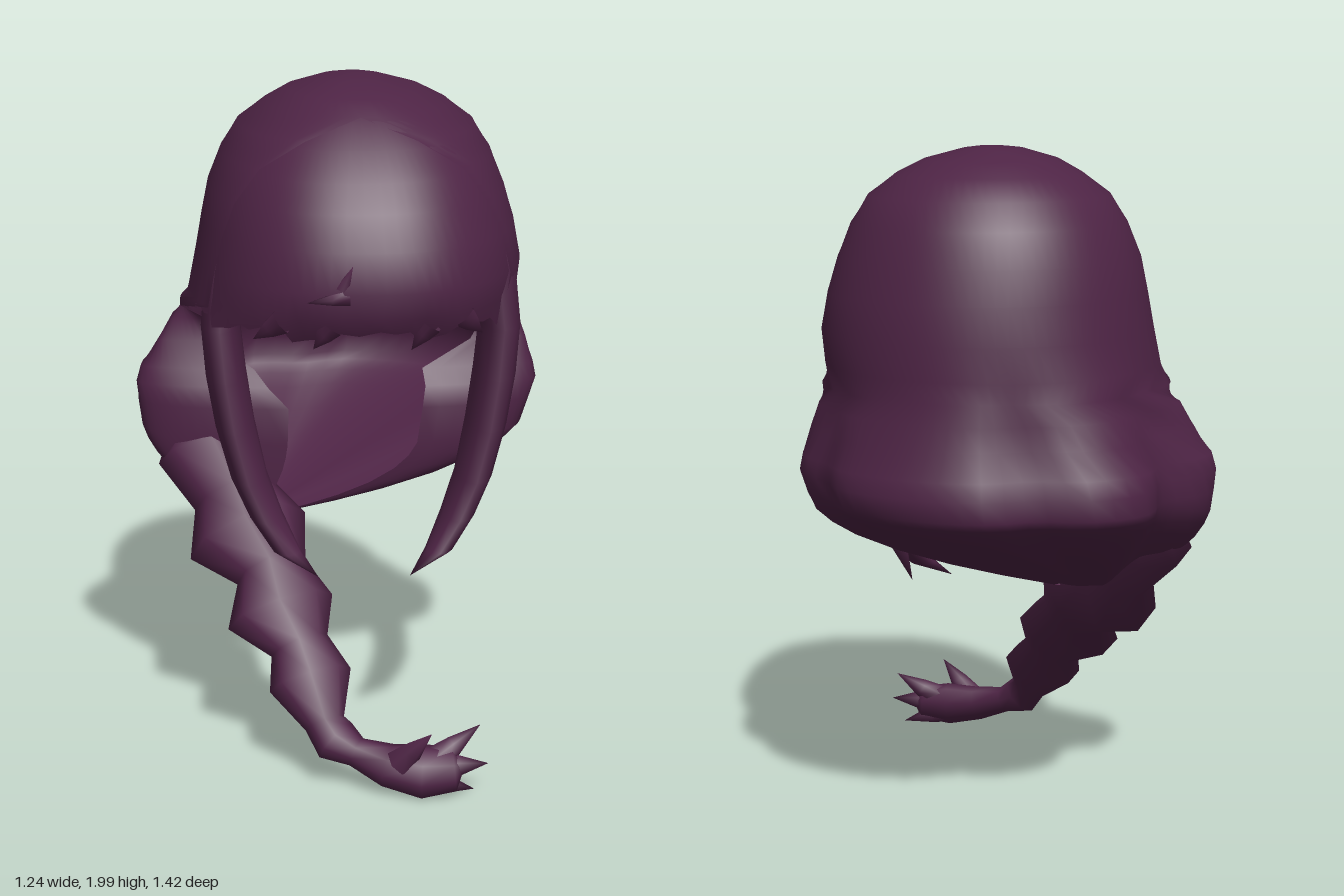
import * as THREE from 'three';
import { mergeVertices } from 'three/addons/utils/BufferGeometryUtils.js';

const hair = new THREE.MeshStandardMaterial({ color: 0x4e2445, side: THREE.DoubleSide });
hair.name = 'plum hair';

// Smooth surface through rows of equally many points.
function surface(name, rows) {
  const n = rows[0].length, index = [];
  for (let i = 0; i < rows.length - 1; i++) {
    for (let j = 0; j < n - 1; j++) {
      const a = i * n + j, b = a + n;
      index.push(a, a + 1, b, a + 1, b + 1, b);
    }
  }
  let geo = new THREE.BufferGeometry().setFromPoints(rows.flat());
  geo.setIndex(index);
  geo = mergeVertices(geo, 1e-4);
  geo.computeVertexNormals();
  const mesh = new THREE.Mesh(geo, hair);
  mesh.name = name;
  return mesh;
}

// Loft of elliptical rings [x, y, z, halfWidth, halfDepth]; rings are level,
// or turned square to the path when a facing direction is given.
function loft(name, rings, facing, sides = 10) {
  const centres = rings.map(r => new THREE.Vector3(r[0], r[1], r[2]));
  return surface(name, rings.map((r, i) => {
    let wide = new THREE.Vector3(1, 0, 0), deep = new THREE.Vector3(0, 0, 1);
    if (facing) {
      const t = centres[Math.min(i + 1, rings.length - 1)].clone()
        .sub(centres[Math.max(i - 1, 0)]).normalize();
      wide = facing.clone().cross(t).normalize();
      deep = t.clone().cross(wide);
    }
    return Array.from({ length: sides + 1 }, (_, j) => {
      const a = (j % sides) / sides * Math.PI * 2;
      return centres[i].clone().addScaledVector(wide, r[3] * Math.sin(a))
        .addScaledVector(deep, -r[4] * Math.cos(a));
    });
  }));
}

// Head profile: y, xMin, xMax, zBack, zFront, z of the shell's left and right edges
const PROFILE = [
  [2.00, 0.05, 0.05, -0.15, -0.15, 0.28, 0.28],
  [1.998, 0.01, 0.09, -0.20, -0.08, 0.28, 0.28],
  [1.99, -0.05, 0.14, -0.25, 0.02, 0.28, 0.28],
  [1.96, -0.15, 0.25, -0.35, 0.15, 0.28, 0.28],
  [1.92, -0.22, 0.33, -0.43, 0.23, 0.28, 0.28],
  [1.86, -0.30, 0.41, -0.50, 0.31, 0.28, 0.28],
  [1.78, -0.35, 0.46, -0.55, 0.39, 0.27, 0.27],
  [1.68, -0.39, 0.50, -0.58, 0.46, 0.26, 0.26],
  [1.58, -0.41, 0.53, -0.605, 0.51, 0.25, 0.25],
  [1.47, -0.43, 0.55, -0.62, 0.54, 0.25, 0.25],
  [1.37, -0.45, 0.54, -0.63, 0.52, 0.24, 0.24],
  [1.31, -0.48, 0.55, -0.64, 0.47, -0.04, -0.04],
  [1.25, -0.51, 0.56, -0.655, -0.10, -0.115, -0.115],
  [1.18, -0.55, 0.585, -0.67, -0.10, -0.11, -0.11],
  [1.10, -0.605, 0.61, -0.70, -0.06, -0.065, -0.065],
  [1.05, -0.62, 0.62, -0.72, -0.03, -0.037, -0.034],
  [0.99, -0.615, 0.60, -0.72, 0.00, -0.009, -0.002],
];
const CZ = -0.15;
const power = forward => forward > 0 ? 2.4 : 2;
const curve = (v, p) => Math.sign(v) * Math.abs(v) ** p;

function profileAt(y) {
  let i = 0;
  while (i < PROFILE.length - 2 && PROFILE[i + 1][0] > y) i++;
  const a = PROFILE[i], b = PROFILE[i + 1];
  const t = (y - a[0]) / (b[0] - a[0]);
  return a.map((v, k) => v + (b[k] - v) * t);
}

// Grooves between the large locks of the back hair: angle, depth, width
const GROOVES = [[-1.05, 0.16, 0.24], [-0.15, 0.09, 0.17], [1.1, 0.05, 0.15]];
function groove(y, angle) {
  const k = THREE.MathUtils.smoothstep(1.45 - y, 0, 0.4);
  return GROOVES.reduce((r, [a, d, w]) => r - k * d * Math.exp(-(((angle - a) / w) ** 2)), 1);
}

// Point on the head at a height and an angle (0 = back, PI = front)
function headPoint(y, angle, scale = 1) {
  const [, x0, x1, zb, zf] = profileAt(y);
  const p = 2 / power(-Math.cos(angle));
  const c = curve(-Math.cos(angle), p), s = curve(Math.sin(angle), p);
  return new THREE.Vector3((x0 + x1) / 2 + scale * s * (x1 - x0) / 2, y,
    CZ + scale * c * (c > 0 ? zf - CZ : CZ - zb));
}

function edgeAngle(y, z) {
  const [, , , zb, zf] = profileAt(y);
  const reach = z > CZ ? zf - CZ : CZ - zb;
  const t = reach > 0 ? THREE.MathUtils.clamp((z - CZ) / reach, -1, 1) : 1;
  return Math.acos(-curve(t, power(t) / 2));
}

// Crown and back hair, gathered below into the root of the braid
function makeShell() {
  const COLS = 56;
  const rows = PROFILE.map(([y, , , , , zLeft, zRight]) => {
    const left = edgeAngle(y, zLeft), right = edgeAngle(y, zRight);
    return Array.from({ length: COLS + 1 }, (_, j) => {
      const u = j / COLS * 2 - 1, a = u * (u > 0 ? left : right);
      return headPoint(y, a, groove(y, a));
    });
  });
  // The front panels drop more steeply than the back before turning under
  const hem = rows[rows.length - 1], root = new THREE.Vector3(-0.28, 0.635, -0.02);
  for (const f of [0.03, 0.08, 0.16, 0.3, 0.48, 0.66, 0.84]) {
    rows.push(hem.map(p => {
      const q = p.clone().lerp(root, f);
      const forward = THREE.MathUtils.clamp((p.z + 0.5) / 0.5, 0, 1);
      q.y = p.y + (root.y - p.y) * f ** (0.76 - 0.44 * forward);
      return q;
    }));
  }
  return surface('backHair', rows);
}

// Fringe: front of the head under the crown's edge, with a ragged hem
function makeFringe() {
  const COLS = 32;
  const heights = [1.95, 1.91, 1.84, 1.76, 1.68, 1.58, 1.47, 1.39, 1.34];
  const ragged = [0, 0.01, -0.01, 0.015, -0.025, 0.01, 0.005, -0.015];
  return surface('fringe', heights.map((y, i) => {
    const A = edgeAngle(y, 0.12);
    return Array.from({ length: COLS + 1 }, (_, j) => {
      const h = i === heights.length - 1 ? y + ragged[(j * 5) % 8] : y;
      return headPoint(h, A + j / COLS * 2 * (Math.PI - A), 0.985);
    });
  }));
}

// Pointed wisp from a base to a tip
function wisp(name, base, tip, width, depth, facing) {
  const mid = base.map((v, k) => v * 0.6 + tip[k] * 0.4);
  return loft(name, [[...base, width, depth], [...mid, width * 0.7, depth * 0.7],
    [...tip, 0, 0]], facing, 6);
}

// Long lock in front of the ear, with two points
function makeLock(side) {
  const mx = x => 0.06 + side * (x - 0.06);
  const lock = new THREE.Group();
  lock.name = side > 0 ? 'leftLock' : 'rightLock';
  lock.add(loft('lockStrand', [
    [0.30, 1.82, 0.13, 0.02, 0.05],
    [0.39, 1.68, 0.11, 0.05, 0.12],
    [0.455, 1.50, 0.11, 0.06, 0.14],
    [0.475, 1.30, 0.12, 0.06, 0.155],
    [0.46, 1.15, 0.135, 0.062, 0.16],
    [0.435, 1.00, 0.155, 0.06, 0.155],
    [0.395, 0.85, 0.20, 0.055, 0.13],
    [0.345, 0.74, 0.25, 0.05, 0.10],
    [0.285, 0.65, 0.32, 0.04, 0.055],
    [0.195, 0.59, 0.39, 0, 0],
  ].map(([x, ...rest]) => [mx(x), ...rest])));
  lock.add(wisp('lockPoint', [mx(0.38), 0.82, 0.16], [mx(0.31), 0.62, 0.18], 0.04, 0.06));
  return lock;
}

// Braid swept forward over the shoulder, ending in a tufted tail
function makeBraid() {
  const braid = new THREE.Group();
  braid.name = 'braid';
  const facing = new THREE.Vector3(0, 0.6, 0.8);
  braid.add(loft('braidStrand', [
    [-0.40, 0.93, -0.20, 0.10, 0.08],
    [-0.39, 0.83, -0.12, 0.17, 0.12],
    [-0.32, 0.71, -0.02, 0.13, 0.11],
    [-0.28, 0.61, 0.07, 0.19, 0.14],
    [-0.21, 0.53, 0.18, 0.11, 0.09],
    [-0.185, 0.44, 0.28, 0.165, 0.10],
    [-0.13, 0.36, 0.355, 0.09, 0.06],
    [-0.10, 0.28, 0.43, 0.125, 0.08],
    [-0.06, 0.18, 0.52, 0.06, 0.045],
    [-0.03, 0.14, 0.55, 0.07, 0.055],
    [0.03, 0.115, 0.58, 0.045, 0.04],
    [0.12, 0.09, 0.62, 0.065, 0.05],
    [0.22, 0.08, 0.645, 0.08, 0.06],
    [0.31, 0.085, 0.645, 0.065, 0.045],
    [0.34, 0.09, 0.645, 0, 0],
  ], facing, 8));
  const tips = [[0.24, 0.22, 0.70], [0.39, 0.20, 0.59], [0.41, 0.10, 0.64], [0.37, 0.02, 0.64]];
  const bases = [[0.15, 0.11, 0.65], [0.26, 0.11, 0.63], [0.27, 0.09, 0.64], [0.22, 0.055, 0.65]];
  tips.forEach((tip, i) => braid.add(wisp('tailTuft', bases[i], tip, 0.045, 0.04, facing)));
  return braid;
}

export function createModel() {
  const model = new THREE.Group();
  model.name = 'braidedHair';
  model.add(makeShell(), makeFringe(), makeLock(1), makeLock(-1), makeBraid());
  // Loose wisps on and below the fringe
  const front = new THREE.Vector3(0, 0, 1);
  const wisps = [
    [[0.01, 1.46, 0.515], [-0.11, 1.45, 0.535], 0.025, 0.015],
    [[-0.01, 1.48, 0.515], [0.02, 1.55, 0.52], 0.02, 0.012],
    [[-0.18, 1.38, 0.465], [-0.26, 1.32, 0.42], 0.04, 0.02],
    [[-0.04, 1.37, 0.485], [-0.09, 1.30, 0.465], 0.04, 0.02],
    [[0.24, 1.37, 0.465], [0.19, 1.29, 0.445], 0.04, 0.02],
    [[0.34, 1.38, 0.41], [0.40, 1.32, 0.37], 0.04, 0.02],
  ];
  for (const [base, tip, w, d] of wisps) model.add(wisp('fringeWisp', base, tip, w, d, front));
  return model;
}
